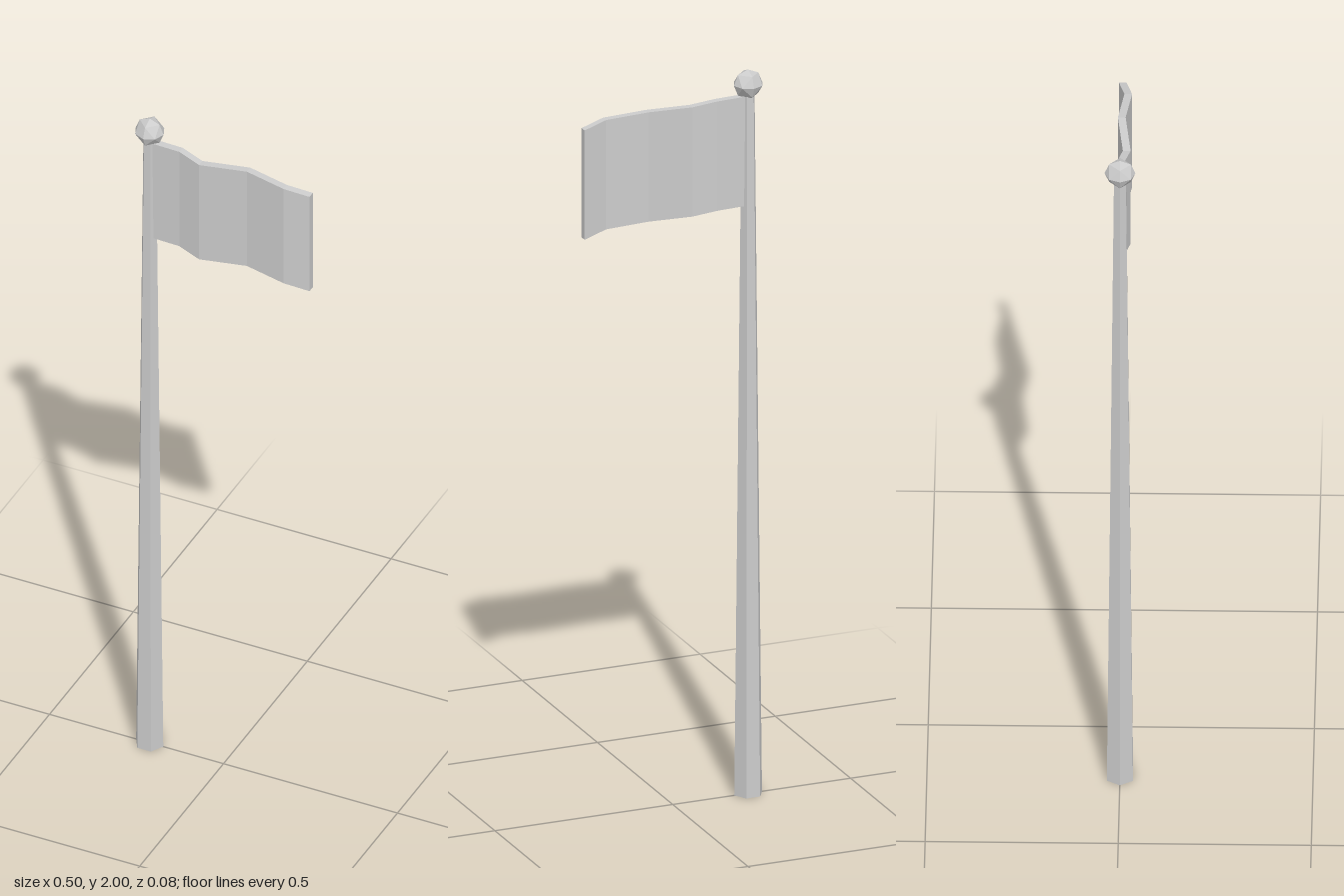
import * as THREE from 'three';

const POLE_X = -0.212;

export function createModel() {
  const group = new THREE.Group();
  const material = new THREE.MeshStandardMaterial({ color: 0xcccccc, flatShading: true });
  const add = (name, geometry, x, y) => {
    const mesh = new THREE.Mesh(geometry, material);
    mesh.name = name;
    mesh.position.set(x, y, 0);
    group.add(mesh);
  };

  // Tapered six-sided pole with corners on the x axis
  const poleHeight = 1.94;
  add('pole', new THREE.CylinderGeometry(0.018, 0.039, poleHeight, 6, 1, false, Math.PI / 2), POLE_X, poleHeight / 2);

  // Faceted ball on top
  add('finial', new THREE.OctahedronGeometry(0.04, 1), POLE_X, 1.96);

  // Waving flag: each column of a thin box follows [x, top y, z]
  const wave = [
    [-0.205, 1.93, 0], [-0.122, 1.928, 0], [-0.058, 1.916, 0.015],
    [0.072, 1.926, 0], [0.185, 1.916, 0.015], [0.252, 1.902, 0],
  ];
  const spans = wave.length - 1;
  const height = 0.302;
  const flag = new THREE.BoxGeometry(spans, height, 0.02, spans, 1, 1);
  const pos = flag.attributes.position;
  for (let i = 0; i < pos.count; i++) {
    const [x, top, z] = wave[Math.round(pos.getX(i) + spans / 2)];
    pos.setXYZ(i, x, top - height / 2 + pos.getY(i), z + pos.getZ(i));
  }
  flag.computeVertexNormals();
  add('flag', flag, 0, 0);

  return group;
}
